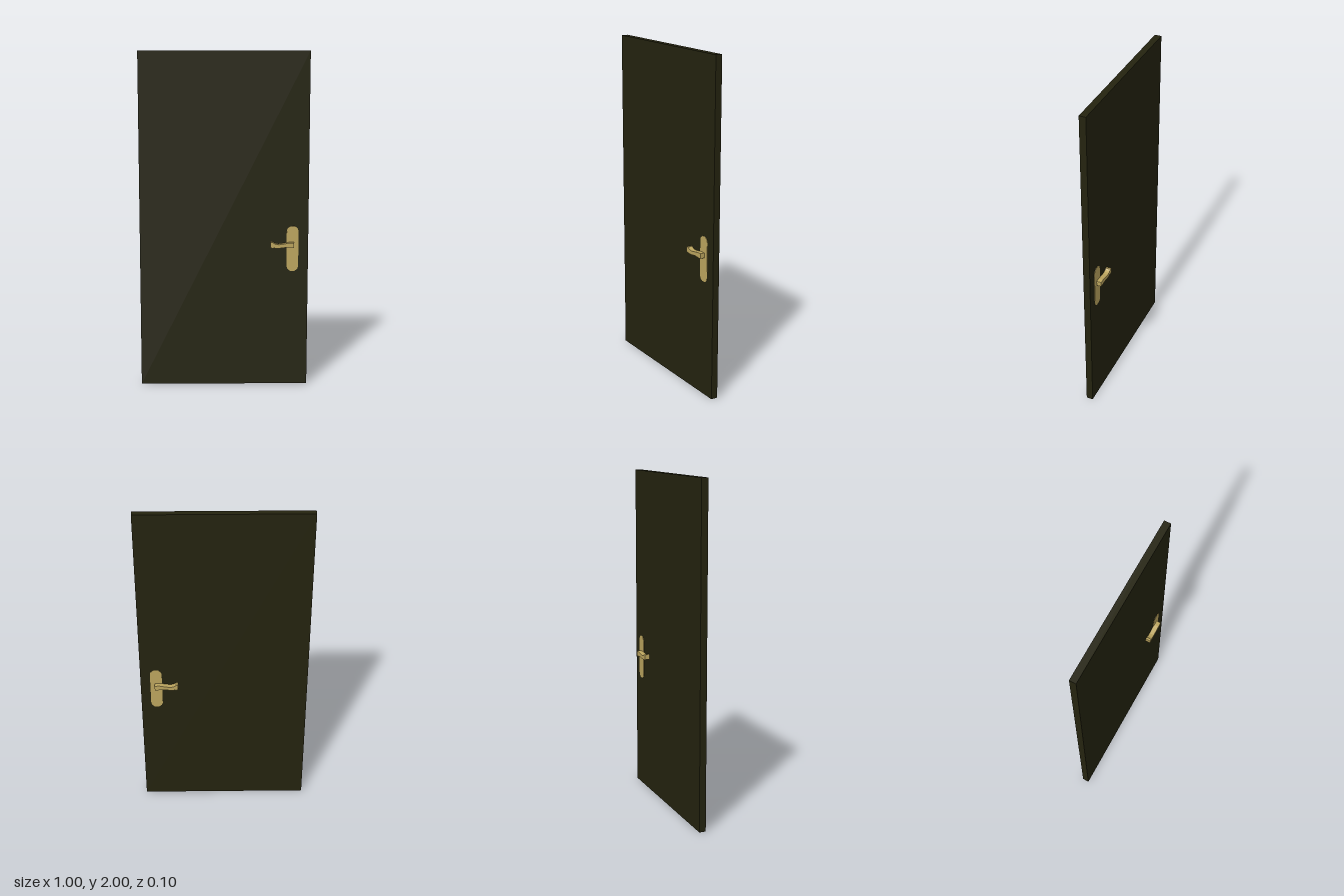
import * as THREE from 'three';

export function createModel() {
  const group = new THREE.Group();
  const darkWood = new THREE.MeshStandardMaterial({ name: 'darkWood', color: 0x24230f });
  const brass = new THREE.MeshStandardMaterial({ name: 'brass', color: 0xbca55e });

  function add(name, geometry, material) {
    const mesh = new THREE.Mesh(geometry, material);
    mesh.name = name;
    group.add(mesh);
    return mesh;
  }

  // Extrudes a flat outline from z0 to z1
  function slab(points, z0, z1) {
    const shape = new THREE.Shape(points.map(([x, y]) => new THREE.Vector2(x, y)));
    return new THREE.ExtrudeGeometry(shape, { depth: z1 - z0, bevelEnabled: false }).translate(0, 0, z0);
  }

  // Door leaf
  add('doorLeaf', new THREE.BoxGeometry(1, 2, 0.04).translate(0, 1, 0), darkWood);

  // Backplate outline: tall plate with clipped, rounded ends
  const quarter = [[0.035, 0.106], [0.03, 0.122], [0.014, 0.135]];
  const outline = [
    ...quarter,
    ...quarter.map(([x, y]) => [-x, y]).reverse(),
    ...quarter.map(([x, y]) => [-x, -y]),
    ...quarter.map(([x, y]) => [x, -y]).reverse(),
  ].map(([x, y]) => [x + 0.407, y + 0.836]);

  // Lever outline: gently waved bar with a flared tip
  const lever = [
    [0.275, 0.847], [0.288, 0.843], [0.296, 0.846], [0.308, 0.842], [0.325, 0.843],
    [0.345, 0.846], [0.37, 0.848], [0.385, 0.845], [0.415, 0.845],
    [0.415, 0.875], [0.385, 0.875], [0.37, 0.872], [0.345, 0.868], [0.325, 0.865],
    [0.308, 0.867], [0.296, 0.872], [0.288, 0.878], [0.275, 0.878],
  ];

  // The same fittings on both faces
  for (const [side, s] of [['front', 1], ['back', -1]]) {
    const span = (a, b) => (s > 0 ? [a, b] : [-b, -a]);
    add(side + 'Backplate', slab(outline, ...span(0.019, 0.022)), brass);
    add(side + 'Lever', slab(lever, ...span(0.02, 0.05)), brass);
  }
  return group;
}
